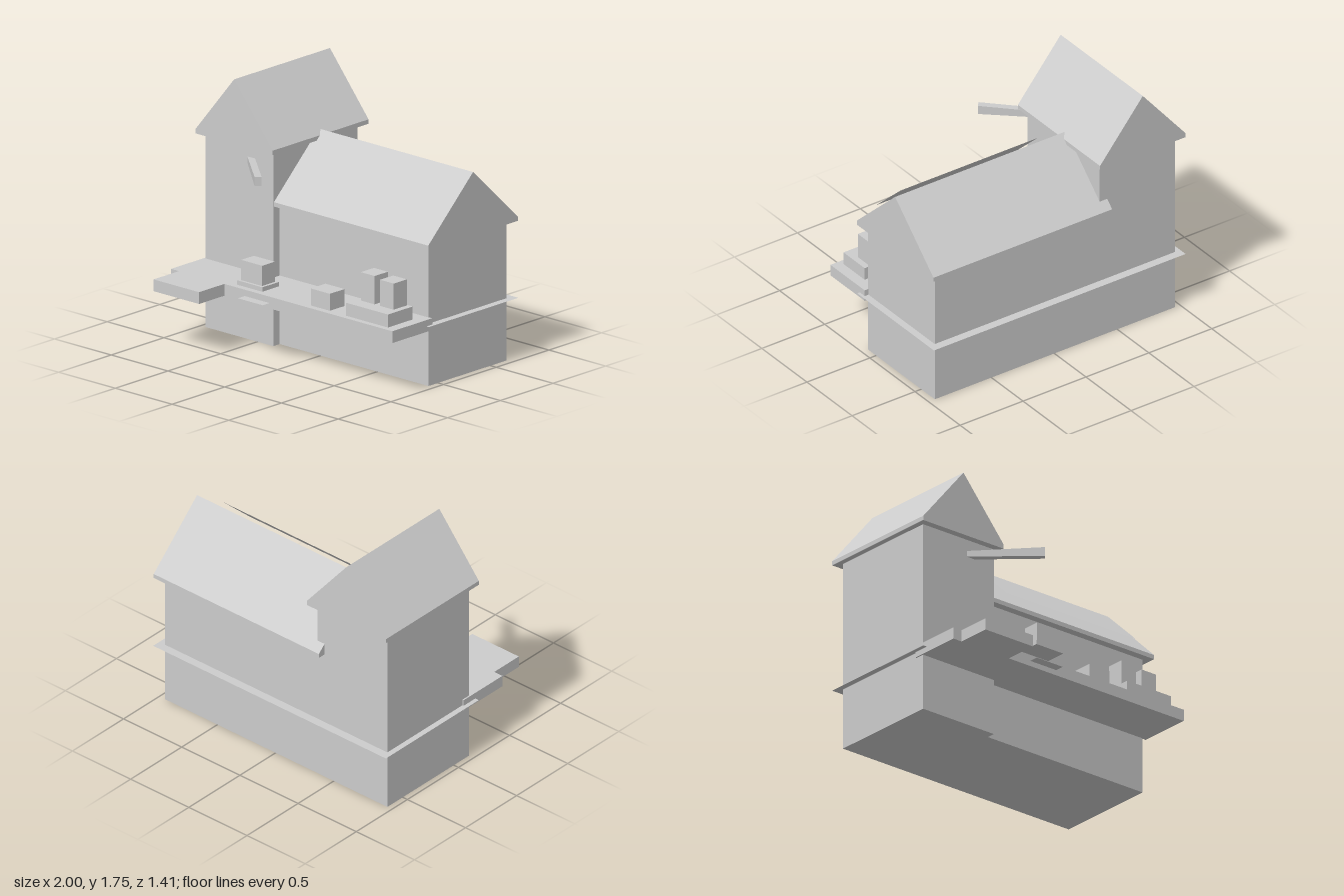
import * as THREE from 'three';

const grey = new THREE.MeshStandardMaterial({ color: 0xcccccc });
grey.name = 'plain grey';
grey.side = THREE.DoubleSide;

export function createModel() {
  const model = new THREE.Group();
  model.name = 'millHouse';

  const add = (name, geometry) => {
    const mesh = new THREE.Mesh(geometry, grey);
    mesh.name = name;
    model.add(mesh);
    return mesh;
  };

  // Box given by its limits on each axis
  const box = (name, x0, x1, y0, y1, z0, z1) => {
    const mesh = add(name, new THREE.BoxGeometry(x1 - x0, y1 - y0, z1 - z0));
    mesh.position.set((x0 + x1) / 2, (y0 + y1) / 2, (z0 + z1) / 2);
    return mesh;
  };

  // Horizontal thin sheet
  const sheet = (name, x0, x1, y, z0, z1) => {
    const geometry = new THREE.PlaneGeometry(x1 - x0, z1 - z0).rotateX(-Math.PI / 2);
    add(name, geometry).position.set((x0 + x1) / 2, y, (z0 + z1) / 2);
  };

  const prism = (points, depth) => new THREE.ExtrudeGeometry(
    new THREE.Shape(points.map(([x, y]) => new THREE.Vector2(x, y))),
    { depth, bevelEnabled: false });

  // Gable roof solid with its ridge along z, centred across x = 0
  const gable = (halfWidth, bottom, eave, ridge, length) => prism([
    [-halfWidth, bottom], [halfWidth, bottom], [halfWidth, eave], [0, ridge], [-halfWidth, eave],
  ], length);

  // Walls
  box('towerWalls', -0.96, -0.36, 0, 1.32, -0.65, 0.15);
  box('hallWalls', -0.36, 0.95, 0, 0.95, -0.65, 0.09);

  // Roofs
  add('towerRoof', gable(0.34, 1.315, 1.345, 1.755, 0.91)).position.set(-0.66, 0, -0.71);
  const hallRoof = add('hallRoof', gable(0.425, 0.945, 0.975, 1.375, 1.42));
  hallRoof.rotation.y = Math.PI / 2;
  hallRoof.position.set(-0.42, 0, -0.28);

  // Flat panel just above the front roof slope
  const rise = 0.255, run = 0.275;
  const panel = add('roofPanel', new THREE.PlaneGeometry(1.09, Math.hypot(rise, run)));
  panel.rotation.x = -Math.atan2(run, rise);
  panel.position.set(0.335, 1.198, -0.037);

  // Deck with landing stage
  box('deck', -0.97, 0.98, 0.385, 0.465, 0.085, 0.465);
  box('landingStage', -0.9, -0.5, 0.385, 0.465, 0.465, 0.705);

  // Thin ledge around the walls
  sheet('towerLedge', -1, -0.32, 0.422, -0.71, 0.2);
  sheet('hallLedge', -0.32, 1, 0.422, -0.71, 0.14);
  sheet('hoistLedge', -0.32, -0.1, 0.422, 0.37, 0.53);

  // Hanging load on its pallet
  box('pallet', -0.325, -0.1, 0.515, 0.545, 0.375, 0.535);
  box('hoistedCrate', -0.305, -0.12, 0.545, 0.682, 0.395, 0.515);

  // Goods on the deck
  box('smallCrate', 0.22, 0.388, 0.465, 0.58, 0.28, 0.42);
  box('goodsBase', 0.535, 0.905, 0.465, 0.553, 0.19, 0.425);
  box('tallCrate', 0.573, 0.695, 0.553, 0.745, 0.2, 0.325);
  box('shortCrate', 0.742, 0.862, 0.553, 0.73, 0.2, 0.325);

  // Hoist beam, growing thicker towards its tip
  const beamLength = 0.52;
  const beam = add('hoistBeam', prism([
    [-beamLength, 1.195], [0, 1.195], [0, 1.257], [-beamLength, 1.235],
  ], 0.045).translate(0, 0, -0.0225));
  beam.rotation.y = -0.73;
  beam.position.set(-0.198, 0, 0.47);

  return model;
}
